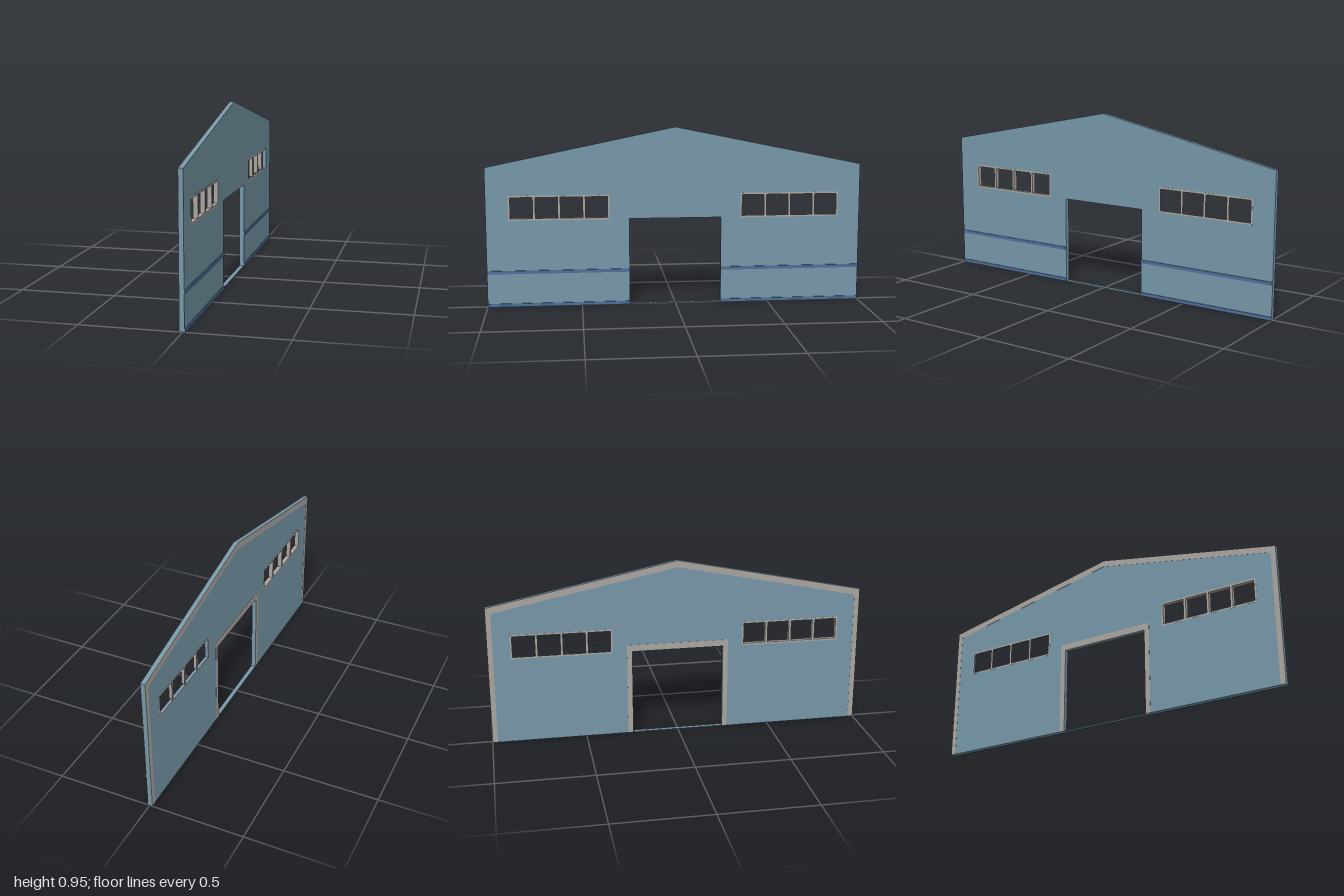
import * as THREE from 'three';

const mat = (name, color) => Object.assign(new THREE.MeshStandardMaterial({ color }), { name });

export function createModel() {
  const wallBlue = mat('wall blue', 0x7797a8);
  const railBlue = mat('rail blue', 0x4f6f98);
  const frameGrey = mat('frame grey', 0xaaa5a0);

  const BACK = -0.0145, FACE = 0.009;
  const EAVE = 0.745, RIDGE = 0.95, DOOR = 0.245, DOOR_TOP = 0.465;
  const WIN = { z0: 0.35, z1: 0.882, y0: 0.463, y1: 0.595 };

  const group = new THREE.Group();
  group.name = 'gableWall';

  const path = (pts, Type = THREE.Shape) => new Type(pts.map(([z, y]) => new THREE.Vector2(z, y)));
  const rect = (z0, z1, y0, y1) => [[z0, y0], [z1, y0], [z1, y1], [z0, y1]];

  // Extrudes a shape drawn in (z, y) across x0..x1
  function slab(name, shape, x0, x1, material) {
    const geo = new THREE.ExtrudeGeometry(shape, { depth: x1 - x0, bevelEnabled: false });
    geo.rotateY(-Math.PI / 2).translate(x1, 0, 0);
    const mesh = new THREE.Mesh(geo, material);
    mesh.name = name;
    group.add(mesh);
  }

  // Wall panel with doorway and two window openings; a thin sill closes the doorway
  const wall = path([[-1, 0], [1, 0], [1, EAVE], [0, RIDGE], [-1, EAVE]]);
  wall.holes.push(path(rect(-DOOR, DOOR, 0.003, DOOR_TOP), THREE.Path));
  for (const s of [-1, 1]) {
    wall.holes.push(path(rect(s * WIN.z0, s * WIN.z1, WIN.y0, WIN.y1), THREE.Path));
  }
  slab('wall', wall, BACK, FACE, wallBlue);

  // Flat trim on the inner face: along the gable edge and around the doorway
  const t = 0.028, drop = 0.036;
  slab('gableTrim', path([
    [-1, 0], [-1, EAVE], [0, RIDGE], [1, EAVE], [1, 0],
    [1 - t, 0], [1 - t, EAVE - drop + t * 0.2], [0, RIDGE - drop],
    [t - 1, EAVE - drop + t * 0.2], [t - 1, 0],
  ]), BACK - 0.0008, BACK, frameGrey);
  slab('doorTrim', path([
    [-DOOR - t, 0], [-DOOR - t, DOOR_TOP + drop], [DOOR + t, DOOR_TOP + drop], [DOOR + t, 0],
    [DOOR, 0], [DOOR, DOOR_TOP], [-DOOR, DOOR_TOP], [-DOOR, 0],
  ]), BACK - 0.0008, BACK, frameGrey);

  for (const s of [-1, 1]) {
    const side = s > 0 ? 'Front' : 'Back';

    // Window frame with four panes
    const frame = path(rect(s * WIN.z0, s * WIN.z1, WIN.y0, WIN.y1));
    const border = 0.01, mullion = 0.014, panes = 4;
    const pane = (WIN.z1 - WIN.z0 - 2 * border - (panes - 1) * mullion) / panes;
    for (let i = 0; i < panes; i++) {
      const z = WIN.z0 + border + i * (pane + mullion);
      frame.holes.push(path(rect(s * z, s * (z + pane), WIN.y0 + border, WIN.y1 - border), THREE.Path));
    }
    slab('windowFrame' + side, frame, BACK - 0.0005, FACE + 0.0005, frameGrey);

    // Horizontal rails on the outer face
    for (const [name, y0, y1] of [['baseRail', 0, 0.0175], ['middleRail', 0.178, 0.195]]) {
      slab(name + side, path(rect(s * DOOR, s, y0, y1)), FACE, 0.0145, railBlue);
    }
  }

  return group;
}
